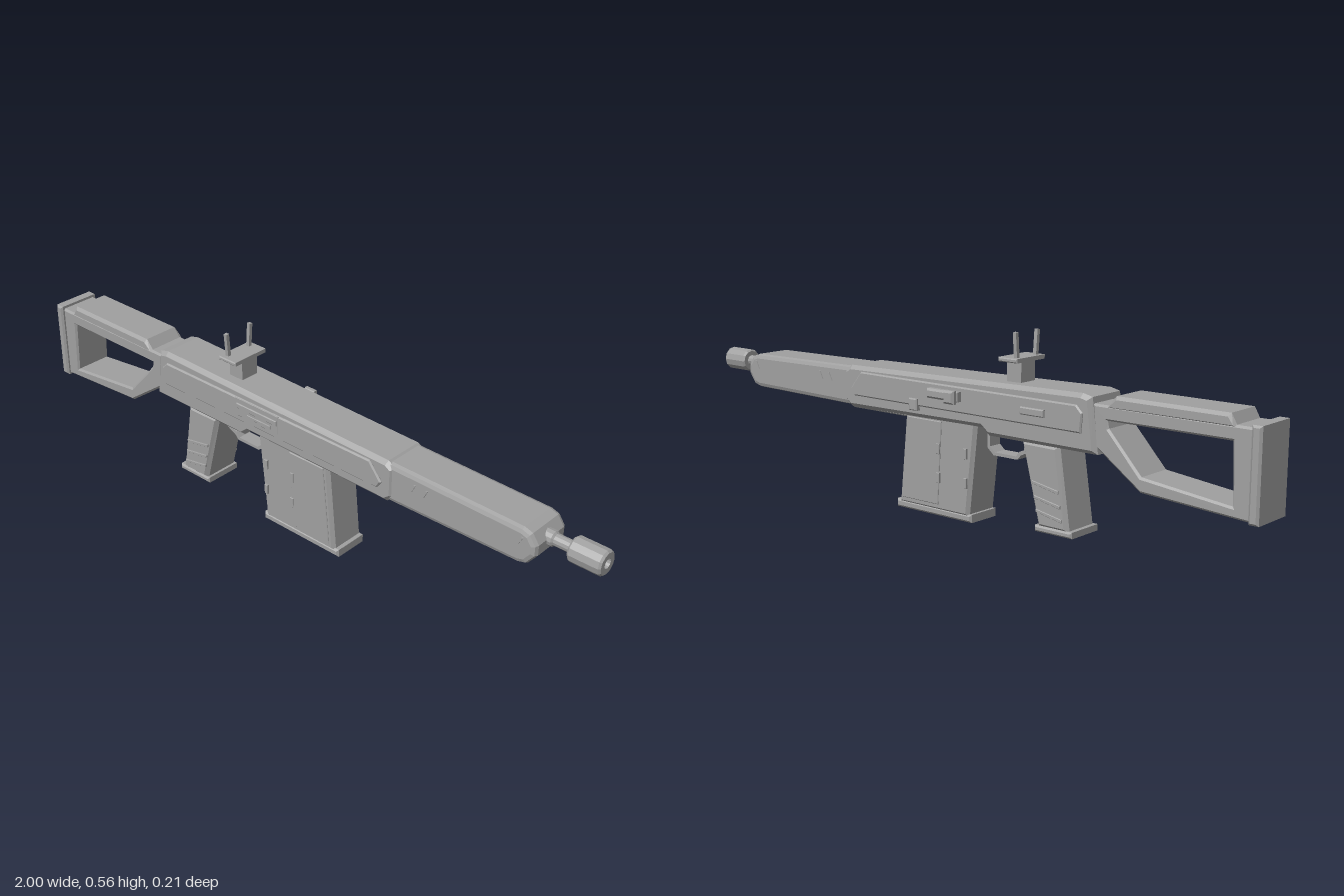
import * as THREE from 'three';

const CZ = 0.017; // centre plane of the body

export function createModel() {
  const metal = new THREE.MeshStandardMaterial({ color: 0xa0a0a0 });
  metal.name = 'gunmetal grey';
  const model = new THREE.Group();
  model.name = 'rifle';

  const add = (name, geometry, parent = model) => {
    const mesh = new THREE.Mesh(geometry, metal);
    mesh.name = name;
    parent.add(mesh);
    return mesh;
  };
  const vectors = (pts) => pts.map(([x, y]) => new THREE.Vector2(x, y));

  // Side outline extruded from z0 to z1, edges chamfered inward by bevel
  const slab = (name, outline, z0, z1, bevel = 0, hole = null, segments = 1) => {
    const shape = new THREE.Shape(vectors(outline));
    if (hole) shape.holes.push(new THREE.Path(vectors(hole)));
    const geo = new THREE.ExtrudeGeometry(shape, {
      depth: z1 - z0 - 2 * bevel, bevelEnabled: bevel > 0, bevelSize: bevel,
      bevelThickness: bevel, bevelOffset: -bevel, bevelSegments: segments,
    });
    geo.translate(0, 0, z0 + bevel);
    return add(name, geo);
  };
  const rect = (x0, x1, y0, y1) => [[x0, y0], [x1, y0], [x1, y1], [x0, y1]];
  const block = (name, x0, x1, y0, y1, z0, z1, bevel = 0) =>
    slab(name, rect(x0, x1, y0, y1), z0, z1, bevel);
  // The same slab on both flanks, from half-depth inner to outer
  const flanks = (name, outline, inner, outer, bevel = 0) => {
    slab(name + 'Left', outline, CZ + inner, CZ + outer, bevel);
    slab(name + 'Right', outline, CZ - outer, CZ - inner, bevel);
  };

  // Receiver
  slab('receiver', [
    [-0.53, 0.265], [-0.165, 0.265], [-0.14, 0.285], [0.37, 0.28], [0.395, 0.3],
    [0.395, 0.39], [0.37, 0.406], [-0.48, 0.422], [-0.51, 0.415],
  ], CZ - 0.073, CZ + 0.073, 0.012);
  flanks('sidePanel', [
    [-0.485, 0.318], [0.345, 0.318], [0.36, 0.34], [0.318, 0.392], [-0.47, 0.392], [-0.49, 0.372],
  ], 0.07, 0.08, 0.004);

  // Ejection port on the left flank
  block('ejectionPort', -0.18, -0.012, 0.335, 0.392, 0.095, 0.099, 0.001);
  block('portCover', -0.17, -0.015, 0.362, 0.378, 0.098, 0.104, 0.002);
  block('portLatch', -0.13, -0.04, 0.342, 0.352, 0.098, 0.102, 0.001);

  // Bolt handle and controls on the right flank
  block('boltCarrier', -0.08, 0.035, 0.352, 0.38, -0.086, -0.06, 0.006);
  block('boltHandle', -0.08, -0.042, 0.347, 0.385, -0.102, -0.08, 0.006);
  block('magazineCatch', 0.085, 0.115, 0.305, 0.34, -0.071, -0.05, 0.003);
  block('selector', -0.37, -0.29, 0.345, 0.366, -0.071, -0.06, 0.003);

  // Handguard with chamfered nose
  slab('handguard', [
    [0.37, 0.284], [0.79, 0.29], [0.815, 0.297], [0.84, 0.33], [0.84, 0.36],
    [0.82, 0.388], [0.795, 0.396], [0.37, 0.402],
  ], CZ - 0.068, CZ + 0.068, 0.014, null, 2);
  block('lowerRail', 0.06, 0.38, 0.274, 0.29, CZ - 0.05, CZ + 0.05, 0.004);
  for (const x of [0.45, 0.49, 0.785]) {
    flanks('handguardSlit', [[x, 0.35], [x + 0.006, 0.35], [x + 0.018, 0.374], [x + 0.012, 0.374]], 0.066, 0.071);
  }

  // Barrel and muzzle, turned about the x axis
  const turned = (name, profile) => {
    const mesh = add(name, new THREE.LatheGeometry(vectors(profile), 12).toNonIndexed());
    mesh.geometry.computeVertexNormals();
    mesh.rotation.z = -Math.PI / 2;
    mesh.position.set(0, 0.357, CZ);
  };
  turned('barrel', [[0.022, 0.82], [0.022, 0.85], [0.017, 0.855], [0.017, 0.92]]);
  turned('muzzleBrake', [
    [0.015, 0.904], [0.031, 0.904], [0.036, 0.91], [0.036, 0.994], [0.031, 1.0],
    [0.014, 1.0], [0.014, 0.96], [0, 0.96],
  ]);

  // Skeleton stock, cheek rest and butt plate
  slab('stock', [
    [-0.975, 0.165], [-0.66, 0.186], [-0.52, 0.285], [-0.51, 0.398], [-0.975, 0.398],
  ], CZ - 0.062, CZ + 0.062, 0.006,
  [[-0.918, 0.358], [-0.555, 0.358], [-0.56, 0.338], [-0.662, 0.227], [-0.925, 0.197]]);
  slab('cheekRest', [
    [-0.93, 0.39], [-0.55, 0.39], [-0.58, 0.425], [-0.91, 0.425],
  ], CZ - 0.064, CZ + 0.064, 0.009);
  block('buttPlate', -1, -0.972, 0.162, 0.406, CZ - 0.071, CZ + 0.071, 0.006);

  // Pistol grip with slanted ribs
  slab('grip', [
    [-0.438, 0.035], [-0.335, 0.035], [-0.275, 0.27], [-0.402, 0.27],
  ], CZ - 0.064, CZ + 0.064, 0.012);
  block('gripBase', -0.45, -0.325, 0.023, 0.041, CZ - 0.063, CZ + 0.063, 0.005);
  for (const y of [0.145, 0.105, 0.068]) {
    const x = -0.438 + (y - 0.035) * 0.17;
    flanks('gripRib', [
      [x + 0.012, y - 0.005], [x + 0.1, y + 0.012], [x + 0.1, y + 0.02], [x + 0.012, y + 0.004],
    ], 0.06, 0.068, 0.001);
  }

  // Trigger and its guard
  slab('trigger', [[-0.262, 0.275], [-0.258, 0.235], [-0.245, 0.222], [-0.248, 0.24], [-0.24, 0.275]], CZ - 0.01, CZ + 0.01);
  slab('triggerGuard', [
    [-0.29, 0.235], [-0.245, 0.214], [-0.232, 0.2], [-0.148, 0.2], [-0.125, 0.22], [-0.125, 0.275],
    [-0.135, 0.275], [-0.135, 0.224], [-0.152, 0.209], [-0.228, 0.209], [-0.24, 0.224], [-0.29, 0.245],
  ], CZ - 0.022, CZ + 0.022);

  // Magazine leaning forward, with flank plates and rivet slots
  slab('magazine', [
    [-0.085, 0.015], [0.183, 0.015], [0.155, 0.3], [-0.116, 0.3],
  ], CZ - 0.06, CZ + 0.06, 0.01);
  block('magazineBase', -0.095, 0.195, 0, 0.024, CZ - 0.058, CZ + 0.058, 0.006);
  flanks('magazinePlate', [[0.026, 0.035], [0.165, 0.035], [0.14, 0.28], [0.012, 0.28]], 0.058, 0.063, 0.002);
  for (const x of [-0.084, 0.018]) {
    for (const y of [0.1, 0.185]) {
      flanks('magazineSlot', rect(x, x + 0.012, y, y + 0.03), 0.058, 0.066, 0.001);
    }
  }

  // Open sight: post, table and two splayed prongs
  block('sightPost', -0.25, -0.2, 0.405, 0.478, CZ - 0.03, CZ + 0.03);
  block('sightTable', -0.26, -0.194, 0.475, 0.487, CZ - 0.063, CZ + 0.063, 0.003);
  for (const side of [-1, 1]) {
    const prong = add('sightProng', new THREE.BoxGeometry(0.011, 0.074, 0.011));
    prong.position.set(-0.243, 0.52, CZ + side * 0.044);
    prong.rotation.x = side * 0.08;
  }
  return model;
}
